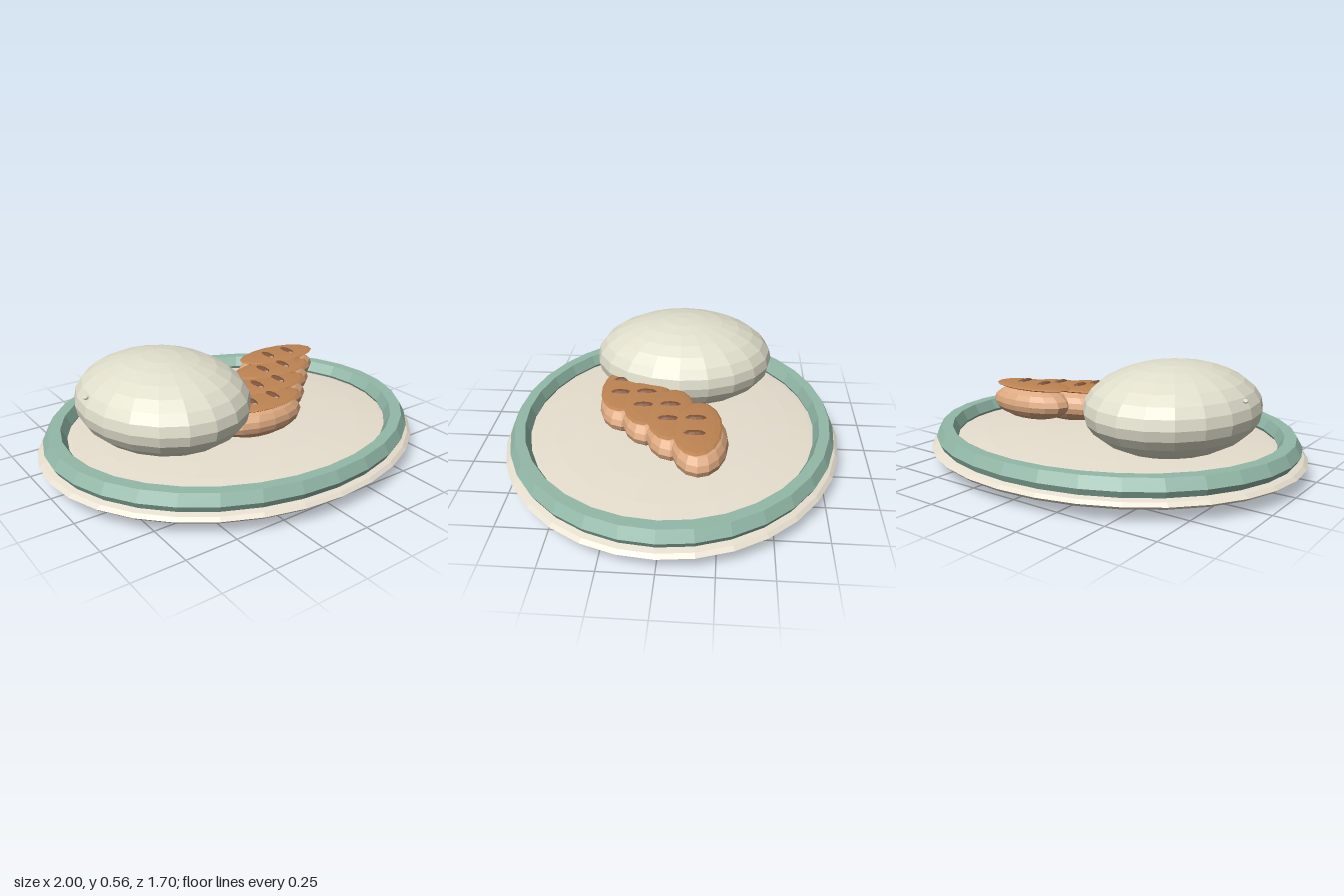
import * as THREE from 'three';

const paint = (color) => new THREE.MeshStandardMaterial({ color, flatShading: true });

export function createModel() {
  const model = new THREE.Group();
  const china = paint(0xe6dece), glaze = paint(0x92b8a8), rice = paint(0xe0decb);
  const meat = paint(0xdca880), sear = paint(0xbd8352), char = paint(0x7d5238);

  // Faceted ellipsoid from a centre and three half-sizes
  function ellipsoid(name, material, centre, radii, w, h, parent = model) {
    const mesh = new THREE.Mesh(new THREE.SphereGeometry(1, w, h), material);
    mesh.name = name;
    mesh.position.set(...centre);
    mesh.scale.set(...radii);
    parent.add(mesh);
    return mesh;
  }

  // Oval plate with a raised, six-sided rim
  ellipsoid('plate', china, [0, 0.08, 0], [1, 0.08, 0.85], 32, 16);
  const rimShape = new THREE.TorusGeometry(0.91, 0.06, 6, 32).rotateX(Math.PI / 2);
  const rim = new THREE.Mesh(rimShape, glaze);
  rim.name = 'plateRim';
  rim.position.y = 0.135;
  rim.scale.z = 0.85;
  model.add(rim);

  // Mound of rice with one loose grain
  ellipsoid('riceMound', rice, [-0.38, 0.335, -0.035], [0.41, 0.22, 0.475], 20, 14);
  ellipsoid('riceGrain', rice, [-0.765, 0.42, -0.06], [0.014, 0.01, 0.012], 8, 6);

  // Overlapping grilled slices, stepping back and to the left
  for (let i = 0; i < 4; i++) {
    const slice = new THREE.Group();
    slice.name = 'grilledSlice' + (i + 1);
    slice.position.set(0.005 + 0.137 * i, 0.24 + 0.011 * i, 0.235 - 0.13 * i);
    model.add(slice);
    ellipsoid('sliceBody', meat, [0, 0, 0], [0.243, 0.09, 0.135], 16, 10, slice);
    ellipsoid('searedTop', sear, [0, 0.084, 0.01], [0.235, 0.016, 0.115], 16, 8, slice);
    for (const x of [-0.066, 0.066]) {
      ellipsoid('grillMark', char, [x, 0.097, 0.02], [0.021, 0.012, 0.052], 8, 6, slice);
    }
  }
  return model;
}
